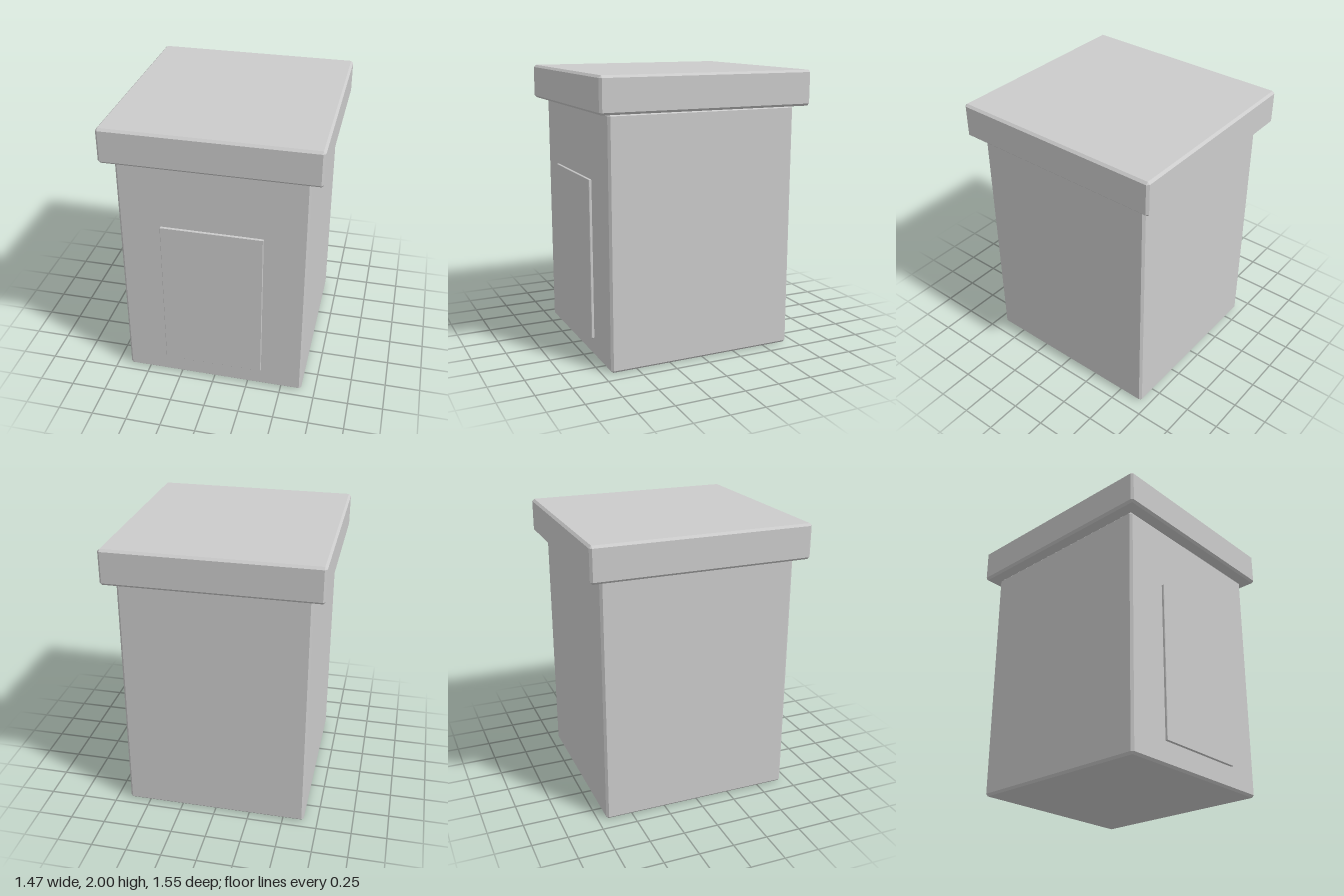
import * as THREE from 'three';
import { ConvexGeometry } from 'three/addons/geometries/ConvexGeometry.js';

const material = new THREE.MeshStandardMaterial({ color: 0xcccccc, flatShading: true });

// Box with a single flat chamfer on every edge, centred on (0, y, z)
function chamferedBox(name, [w, h, d], y, z, c) {
  const points = [];
  for (const sx of [-1, 1]) for (const sy of [-1, 1]) for (const sz of [-1, 1]) {
    const x = w / 2, v = h / 2, u = d / 2;
    points.push(
      new THREE.Vector3(sx * x, sy * (v - c), sz * (u - c)),
      new THREE.Vector3(sx * (x - c), sy * v, sz * (u - c)),
      new THREE.Vector3(sx * (x - c), sy * (v - c), sz * u)
    );
  }
  const mesh = new THREE.Mesh(new ConvexGeometry(points), material);
  mesh.name = name;
  mesh.position.set(0, y, z);
  return mesh;
}

export function createModel() {
  const model = new THREE.Group();
  model.name = 'cabinet';

  // Tall body standing on the ground
  model.add(chamferedBox('body', [1.303, 1.753, 1.38], 0.8765, 0, 0.016));

  // Overhanging slab on top
  model.add(chamferedBox('topSlab', [1.466, 0.247, 1.548], 1.8765, 0, 0.016));

  // Thin door panel just off the front face
  model.add(chamferedBox('doorPanel', [0.71, 1.132, 0.02], 0.719, 0.713, 0.003));

  return model;
}
